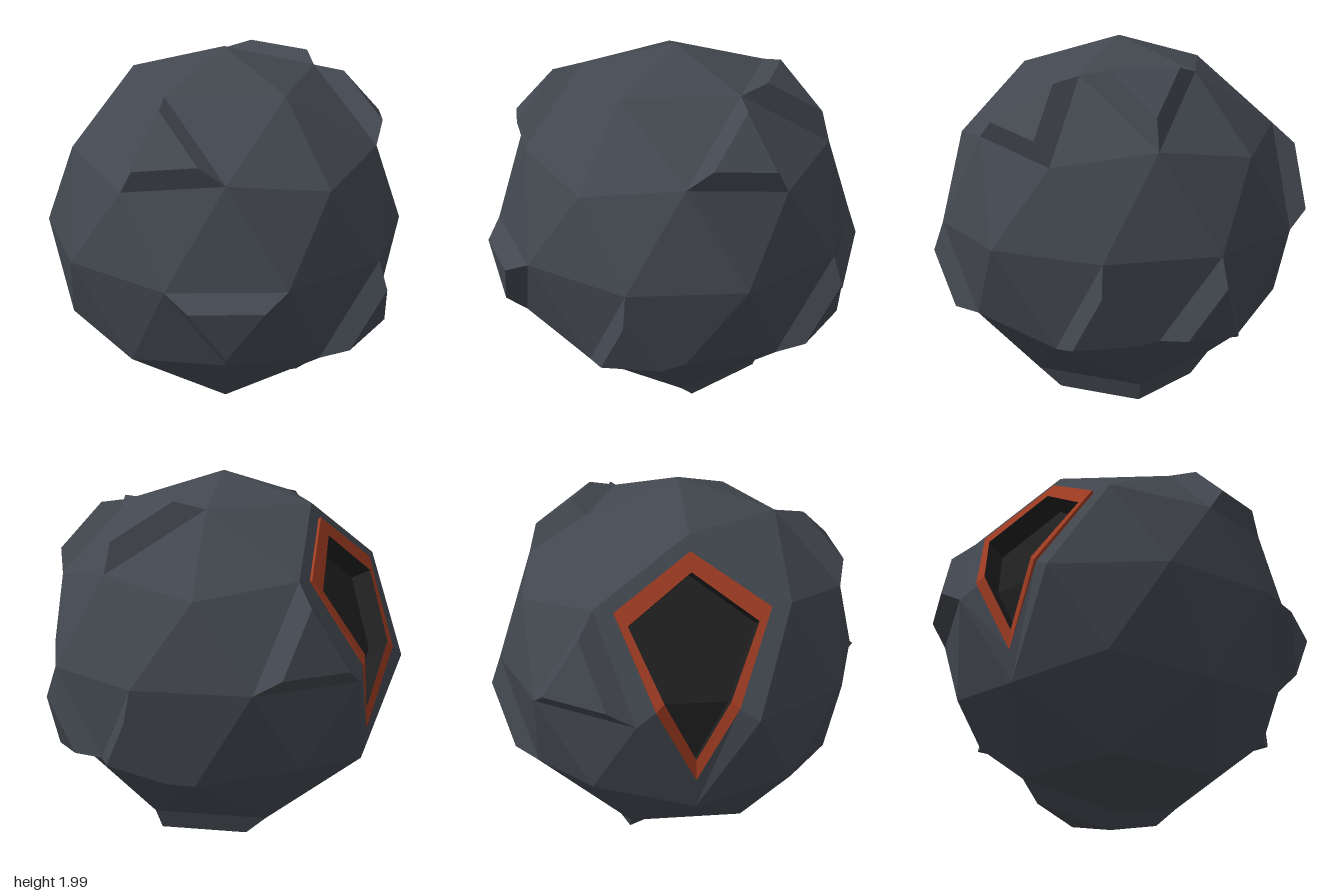
import * as THREE from 'three';

const R = 0.96;
const CENTER = new THREE.Vector3(-0.02, 1.03, 0);

// Rings of a once-subdivided icosahedron: [height, radius] on the unit sphere.
// Capitals mirror the lower half; N and S are the poles.
const RINGS = {
  N: [1, 0], p: [0.8507, 0.5257], m: [0.5257, 0.8507], q: [0.4472, 0.8944], e: [0, 1],
  Q: [-0.4472, 0.8944], M: [-0.5257, 0.8507], P: [-0.8507, 0.5257], S: [-1, 0],
};
const OPPOSITE = { N: 'S', p: 'P', m: 'M', q: 'Q', e: 'e' };

const key = (ring, angle) => (ring === 'N' || ring === 'S' ? ring : ring + ((angle + 720) % 360));

function point(k) {
  const [h, r] = RINGS[k[0]];
  const a = THREE.MathUtils.degToRad(Number(k.slice(1)));
  return new THREE.Vector3(r * Math.cos(a), h, r * Math.sin(a)).multiplyScalar(R).add(CENTER);
}

// All 80 faces as key triples: five upper wedges and their point reflections
function sphereFaces() {
  const faces = [];
  for (let i = 0; i < 5; i++) {
    const a = 36 + 72 * i;
    const wedge = [
      [['N', 0], ['p', a], ['p', a + 72]],
      [['p', a], ['q', a], ['m', a + 36]],
      [['p', a], ['m', a + 36], ['p', a + 72]],
      [['p', a + 72], ['m', a + 36], ['q', a + 72]],
      [['q', a], ['e', a - 18], ['e', a + 18]],
      [['q', a], ['e', a + 18], ['m', a + 36]],
      [['m', a + 36], ['e', a + 18], ['e', a + 54]],
      [['m', a + 36], ['e', a + 54], ['q', a + 72]],
    ];
    for (const f of wedge) {
      faces.push(f.map(([r, t]) => key(r, t)));
      faces.push(f.map(([r, t]) => key(OPPOSITE[r], t + 180)));
    }
  }
  return faces;
}

const centroid = (loop) =>
  loop.reduce((s, p) => s.add(p), new THREE.Vector3()).divideScalar(loop.length);

// Order a loop counter-clockwise as seen from outside, keeping its first point
function outward(loop) {
  const n = new THREE.Vector3();
  const c = centroid(loop);
  loop.forEach((p, i) => {
    const next = loop[(i + 1) % loop.length];
    n.add(p.clone().sub(c).cross(next.clone().sub(c)));
  });
  return n.dot(c.sub(CENTER)) < 0 ? [loop[0], ...loop.slice(1).reverse()] : loop;
}

function fan(out, loop) {
  for (let i = 1; i < loop.length - 1; i++) out.push(loop[0], loop[i], loop[i + 1]);
}

function band(out, a, b) {
  a.forEach((p, i) => {
    const j = (i + 1) % a.length;
    out.push(p, a[j], b[j], p, b[j], b[i]);
  });
}

// Raised plate: a shrunken copy of the loop pushed outward, with sloping walls
function plate(out, keys, scale, height) {
  const loop = outward(keys.map(point));
  const c = centroid(loop);
  const lift = c.clone().sub(CENTER).setLength(height);
  const top = loop.map((p) => p.clone().sub(c).multiplyScalar(scale).add(c).add(lift));
  band(out, loop, top);
  fan(out, top);
}

function mesh(name, points, material) {
  const g = new THREE.BufferGeometry().setFromPoints(points);
  g.computeVertexNormals();
  const m = new THREE.Mesh(g, material);
  m.name = name;
  return m;
}

// Six-sided loop of the opening from [x, y, z] of its side corners and [x, y] of its tips
function openingLoop(low, mid, top, bottom) {
  const v = ([x, y, z], s = 1) => new THREE.Vector3(x, y, z * s);
  return [v(low), v(mid), v([...top, 0]), v(mid, -1), v(low, -1), v([...bottom, 0])];
}

export function createModel() {
  const hullMat = new THREE.MeshStandardMaterial({ color: 0x434850 });
  hullMat.name = 'slate grey';
  const rimMat = new THREE.MeshStandardMaterial({ color: 0xa03c22 });
  rimMat.name = 'rust orange';
  const cavityMat = new THREE.MeshStandardMaterial({ color: 0x202020 });
  cavityMat.name = 'near black';
  for (const m of [hullMat, rimMat, cavityMat]) m.flatShading = true;

  const raised = [
    ['p108', 'q108', 'm72'], ['e90', 'e54', 'Q72'], ['e18', 'M36', 'Q0'],
    ['e306', 'M324', 'Q288'], ['e270', 'Q288', 'M252'], ['m0', 'p324', 'q324'],
    ['p324', 'p252', 'm288'], ['m216', 'e198', 'e234'],
  ];
  const id = (f) => [...f].sort().join();
  const skip = new Set([
    ...raised, ['e162', 'e198', 'M180'], ['S', 'P0', 'P288'], ['S', 'P288', 'P216'],
  ].map(id));

  // Faceted shell without the plates and the opening
  const shell = [];
  for (const f of sphereFaces()) {
    if (!skip.has(id(f)) && !f.includes('q180')) shell.push(...outward(f.map(point)));
  }

  // Raised plates: eight triangles and one folded pair underneath
  const plates = [];
  for (const f of raised) plate(plates, f, 0.62, 0.1);
  plate(plates, ['S', 'P0', 'P288', 'P216'], 0.77, 0.1);

  // Opening: flush flange, slightly raised rim, dark recess
  const edge = ['e162', 'm144', 'p180', 'm216', 'e198', 'M180'].map(point);
  const seat = openingLoop([-0.905, 1.09, 0.2], [-0.69, 1.52, 0.38], [-0.565, 1.77], [-0.862, 0.69]);
  const hole = openingLoop([-0.888, 1.125, 0.16], [-0.72, 1.46, 0.315], [-0.61, 1.68], [-0.858, 0.8]);
  const axis = new THREE.Vector3(-0.894, 0.447, 0);
  const push = (loop, d) =>
    loop.map((p, i) => p.clone().addScaledVector(axis, i === 5 && d > 0 ? 0 : d));
  const rimOuter = push(seat, 0.015);
  const rimInner = push(hole, 0.015);
  const floor = push(hole, -0.1);

  const flange = [];
  band(flange, edge, seat);
  const rim = [];
  band(rim, seat, rimOuter);
  band(rim, rimOuter, rimInner);
  const cavity = [];
  band(cavity, rimInner, floor);
  fan(cavity, floor);

  const group = new THREE.Group();
  group.name = 'facetedSphere';
  group.add(
    mesh('shell', shell, hullMat),
    mesh('raisedPlates', plates, hullMat),
    mesh('openingFlange', flange, hullMat),
    mesh('openingRim', rim, rimMat),
    mesh('openingRecess', cavity, cavityMat),
  );
  return group;
}
